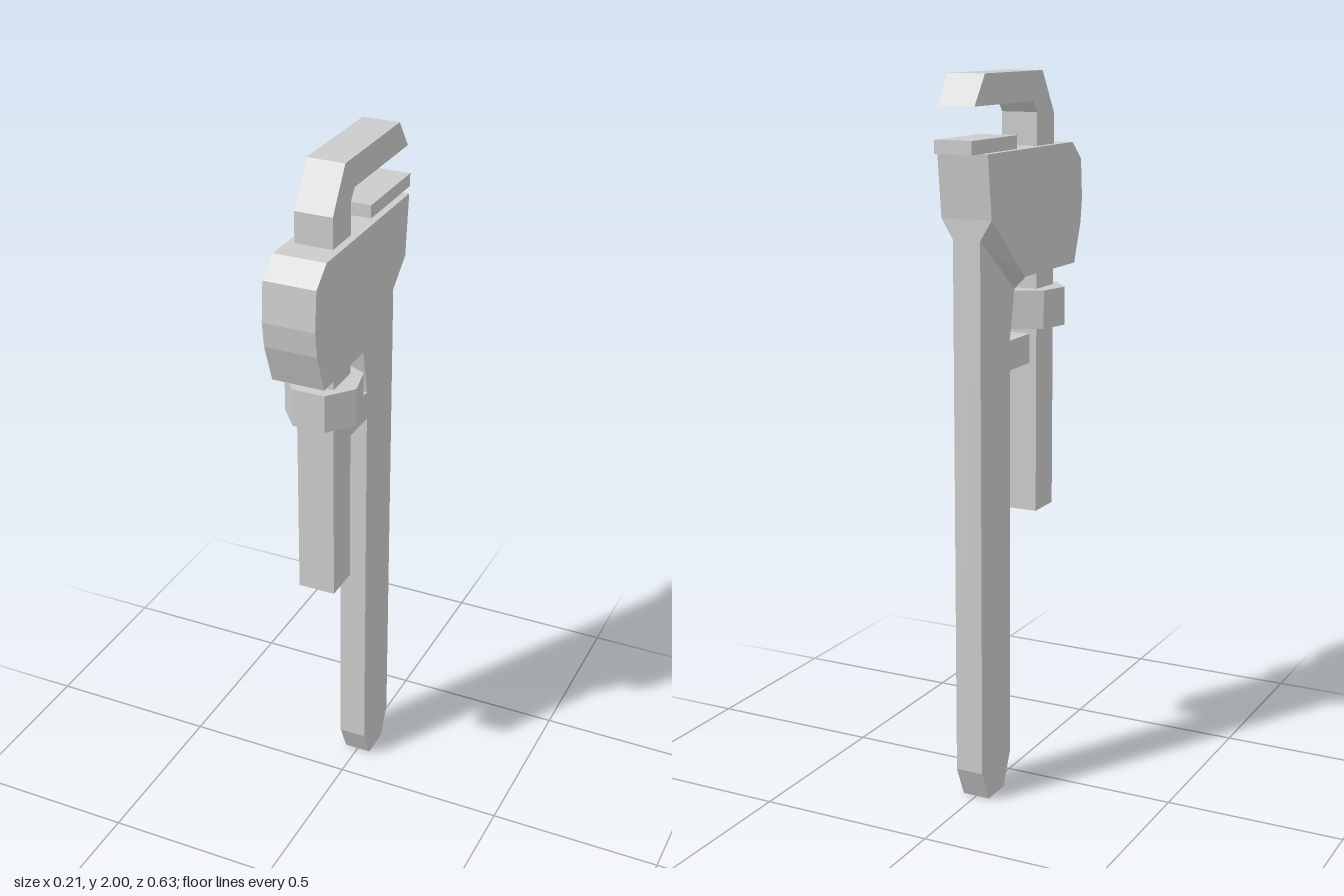
import * as THREE from 'three';

export function createModel() {
  const wrench = new THREE.Group();
  wrench.name = 'pipeWrench';
  const material = new THREE.MeshStandardMaterial({ color: 0xcccccc, flatShading: true });

  const add = (name, geometry) => {
    const mesh = new THREE.Mesh(geometry, material);
    mesh.name = name;
    wrench.add(mesh);
    return mesh;
  };

  // Side outline given as [z, y] points, extruded across x and centred
  const slab = (name, outline, width) => {
    const shape = new THREE.Shape(outline.map(([z, y]) => new THREE.Vector2(z, y)));
    const geometry = new THREE.ExtrudeGeometry(shape, { depth: width, bevelEnabled: false });
    geometry.translate(0, 0, -width / 2).rotateY(-Math.PI / 2);
    return add(name, geometry);
  };

  // Handle with chamfered foot, flared neck and a short tab towards the bar
  slab('handle', [
    [-0.205, 0], [-0.115, 0], [-0.075, 0.09], [-0.075, 1.205], [0.047, 1.205],
    [0.047, 1.287], [-0.075, 1.287], [-0.047, 1.425], [-0.047, 1.46],
    [-0.245, 1.63], [-0.245, 0.09],
  ], 0.08);

  // Wide head housing
  slab('head', [
    [0.265, 1.46], [0.305, 1.57], [0.314, 1.64], [0.305, 1.75], [0.247, 1.8],
    [-0.264, 1.8], [-0.245, 1.63], [-0.047, 1.46],
  ], 0.147);

  // Tapered collar joining the narrow handle to the wide head
  const collar = new THREE.BoxGeometry(2, 2, 2);
  const p = collar.attributes.position;
  for (let i = 0; i < p.count; i++) {
    const top = p.getY(i) > 0, front = p.getZ(i) > 0;
    const y = top ? (front ? 1.46 : 1.63) : (front ? 1.425 : 1.575);
    p.setXYZ(i, p.getX(i) * (top ? 0.0735 : 0.04), y, front ? -0.047 : -0.245);
  }
  collar.computeVertexNormals();
  add('collar', collar);

  // Sliding bar with the hooked upper jaw
  slab('hookJaw', [
    [0.168, 0.775], [0.168, 1.885], [0.095, 2], [-0.24, 2], [-0.297, 1.92],
    [0.04, 1.92], [0.062, 1.89], [0.062, 0.775],
  ], 0.106);

  // Fixed lower jaw plate
  slab('lowerJaw', [[-0.06, 1.8], [-0.06, 1.836], [-0.315, 1.836], [-0.315, 1.8]], 0.108);

  // Seven-sided adjusting nut around the bar
  const nut = add('adjustingNut', new THREE.CylinderGeometry(0.107, 0.107, 0.107, 7));
  nut.rotation.y = Math.PI;
  nut.position.set(0, 1.357, 0.112);

  return wrench;
}
